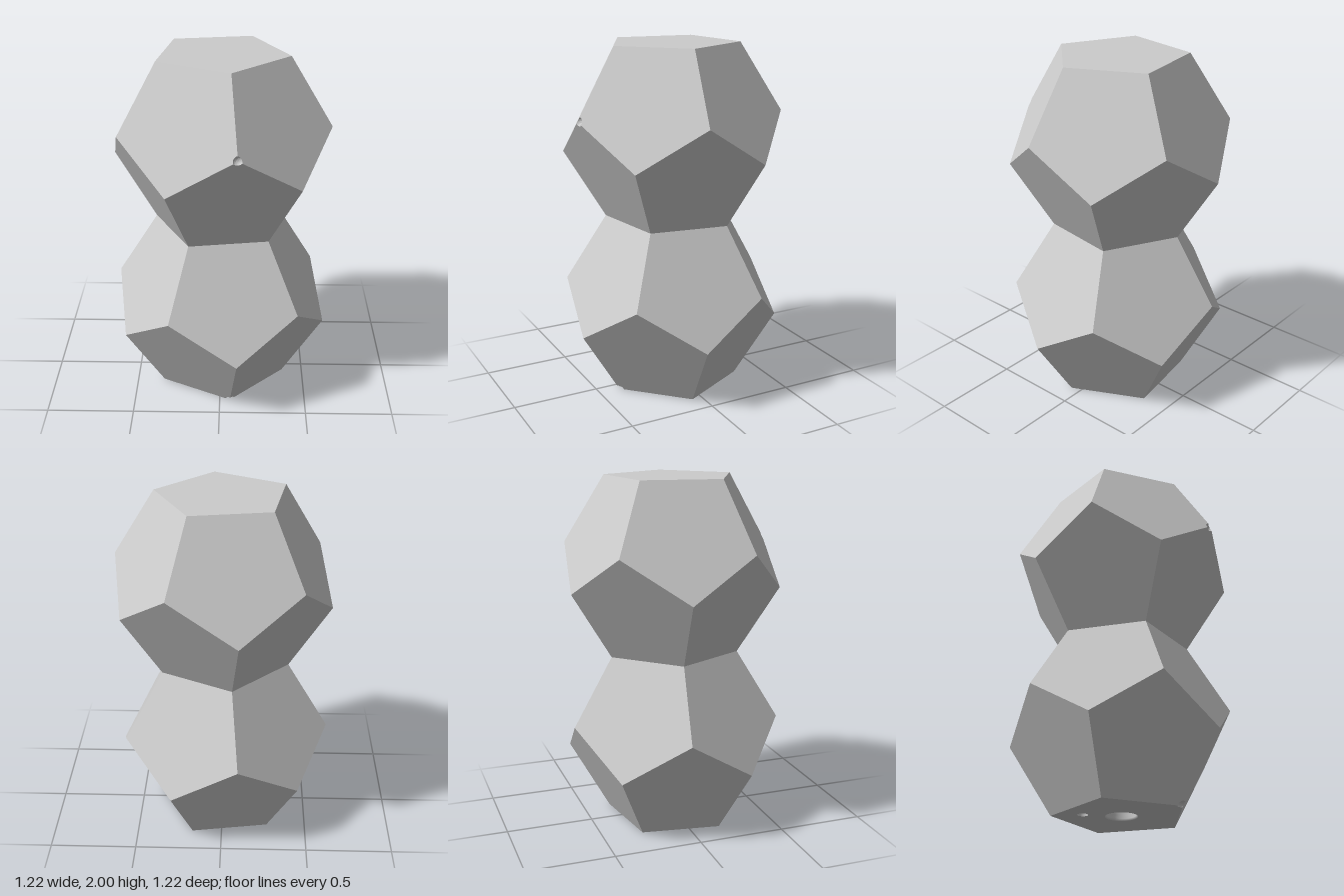
import * as THREE from 'three';

const material = new THREE.MeshStandardMaterial({ color: 0xcccccc, flatShading: true });
const inside = new THREE.MeshStandardMaterial({ color: 0xcccccc, side: THREE.DoubleSide });
const NICK = 0.028; // radius of the small round nicks cut at two corners

// five points on a level circle
function ring(radius, y, degrees) {
  return Array.from({ length: 5 }, (_, k) => {
    const a = THREE.MathUtils.degToRad(degrees + 72 * k);
    return new THREE.Vector3(radius * Math.cos(a), y, radius * Math.sin(a));
  });
}

// outline of a face, with an arc in place of a nicked corner
function outline(corners, nicked) {
  return corners.flatMap((p, i) => {
    if (p !== nicked) return [p];
    const toPrev = corners[(i + 4) % 5].clone().sub(p).normalize();
    const toNext = corners[(i + 1) % 5].clone().sub(p).normalize();
    return Array.from({ length: 11 }, (_, j) =>
      toPrev.clone().lerp(toNext, j / 10).setLength(NICK).add(p));
  });
}

function meshFromTriangles(name, points, mat) {
  const geometry = new THREE.BufferGeometry().setFromPoints(points);
  geometry.computeVertexNormals();
  const mesh = new THREE.Mesh(geometry, mat);
  mesh.name = name;
  return mesh;
}

// triangle fan of one face, wound to face away from the body centre
function fan(corners, nicked, bodyCentre) {
  const loop = outline(corners, nicked);
  const mid = corners.reduce((s, p) => s.add(p), new THREE.Vector3()).divideScalar(5);
  const normal = corners[0].clone().sub(mid).cross(corners[1].clone().sub(mid));
  const outward = normal.dot(mid.clone().sub(bodyCentre)) > 0;
  return loop.flatMap((p, i) => {
    const q = loop[(i + 1) % loop.length];
    return outward ? [mid, p, q] : [mid, q, p];
  });
}

// spherical cup between the three edges that meet at a corner
function cup(name, corner, neighbours) {
  const dirs = neighbours.map((p) => p.clone().sub(corner).normalize());
  const n = 10;
  const at = (i, j) => new THREE.Vector3()
    .addScaledVector(dirs[0], n - i - j).addScaledVector(dirs[1], i).addScaledVector(dirs[2], j)
    .setLength(NICK).add(corner);
  const points = [];
  for (let i = 0; i < n; i++) {
    for (let j = 0; j < n - i; j++) {
      points.push(at(i, j), at(i + 1, j), at(i, j + 1));
      if (i + j < n - 1) points.push(at(i + 1, j), at(i + 1, j + 1), at(i, j + 1));
    }
  }
  return meshFromTriangles(name, points, inside);
}

function lathe(name, profile, x = 0, z = 0) {
  const points = profile.map(([r, y]) => new THREE.Vector2(r, y));
  const mesh = new THREE.Mesh(new THREE.LatheGeometry(points, 32), inside);
  mesh.position.set(x, 0, z);
  mesh.name = name;
  return mesh;
}

export function createModel() {
  const group = new THREE.Group();
  const hole = { r: 0.03, x: -0.168, z: -0.128 };

  for (const upper of [false, true]) {
    const level = (y) => (upper ? 2 - y : y);
    const end = ring(0.382, level(0), 9);
    const outer = ring(0.618, level(0.382), 9);
    const inner = ring(0.618, level(0.618), 45);
    const waist = ring(0.382, 1, 45);
    const centre = new THREE.Vector3(0, level(0.5), 0);
    const nicked = upper ? outer[1] : end[1];

    // ten side pentagons of a dodecahedron, open at the shared waist
    const points = [];
    for (let k = 0; k < 5; k++) {
      const m = (k + 1) % 5;
      points.push(...fan([end[k], end[m], outer[m], inner[k], outer[k]], nicked, centre));
      points.push(...fan([waist[k], waist[m], inner[m], outer[m], inner[k]], nicked, centre));
    }
    if (upper) points.push(...fan(end, nicked, centre));
    group.add(meshFromTriangles(upper ? 'upperDodecahedron' : 'lowerDodecahedron', points, material));

    if (upper) {
      group.add(cup('frontNick', nicked, [end[1], inner[0], inner[1]]));
    } else {
      group.add(cup('baseNick', nicked, [end[0], end[2], outer[1]]));

      // base face with the threaded hole and the small hole
      const shape = new THREE.Shape(outline(end, nicked).map((p) => new THREE.Vector2(p.x, p.z)));
      shape.holes.push(new THREE.Path().absarc(0, 0, 0.09, 0, Math.PI * 2, true));
      shape.holes.push(new THREE.Path().absarc(hole.x, hole.z, hole.r, 0, Math.PI * 2, true));
      const base = new THREE.Mesh(new THREE.ShapeGeometry(shape, 16).rotateX(Math.PI / 2), material);
      base.name = 'baseFace';
      group.add(base);
    }
  }

  // ribbed wall of the centre hole and plain wall of the small one
  const thread = Array.from({ length: 25 }, (_, i) => [i % 2 ? 0.08 : 0.09, i * 0.01]);
  group.add(lathe('threadedHole', [...thread, [0, 0.24]]));
  group.add(lathe('smallHole', [[hole.r, 0], [hole.r, 0.1], [0, 0.1]], hole.x, hole.z));
  return group;
}
